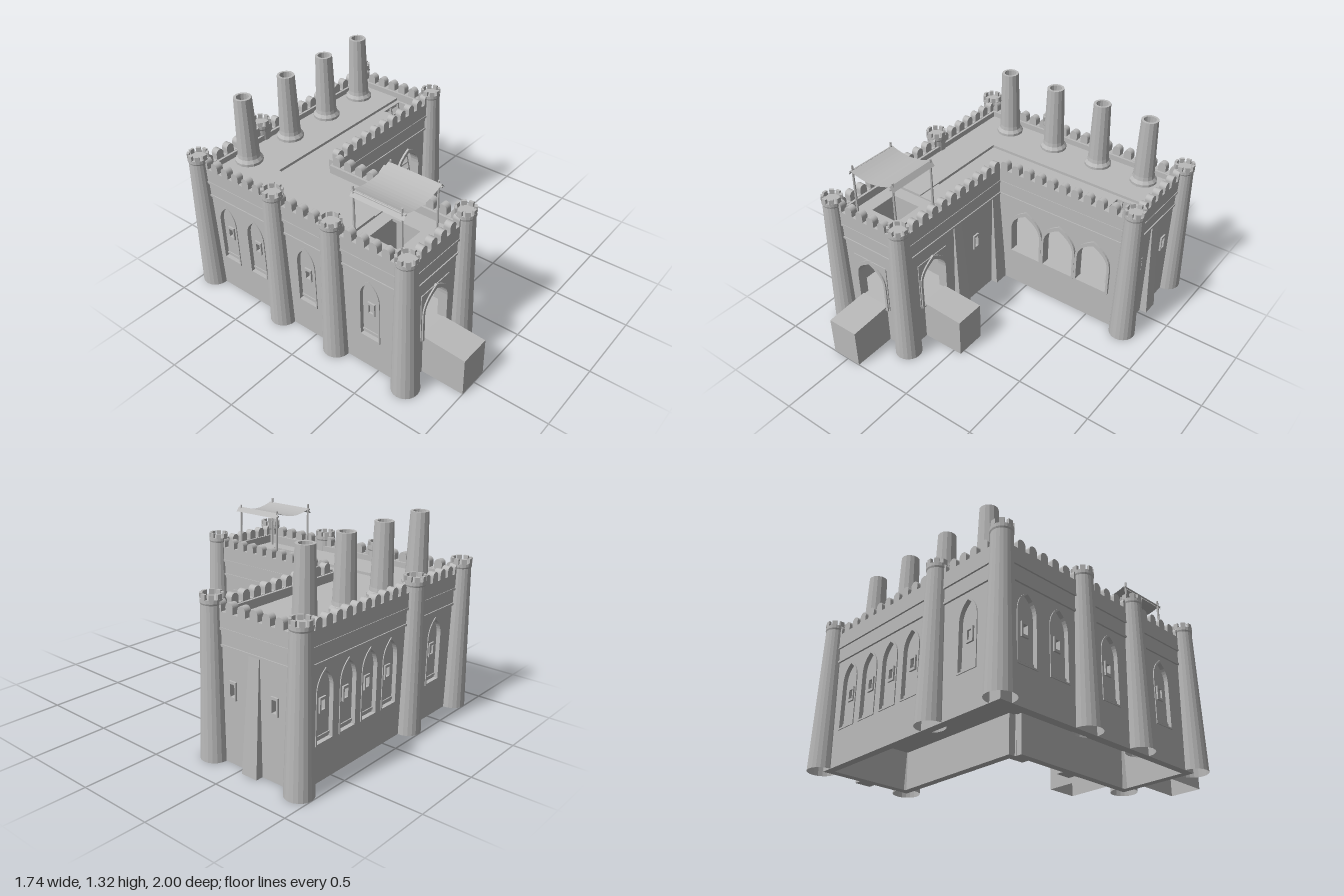
import * as THREE from 'three';

const stone = new THREE.MeshStandardMaterial({ color: 0xbababa, flatShading: true, side: THREE.DoubleSide });
stone.name = 'grey stone';

function add(parent, name, geo, x = 0, y = 0, z = 0) {
  const m = new THREE.Mesh(geo, stone);
  m.name = name;
  m.position.set(x, y, z);
  parent.add(m);
  return m;
}
// box given by its two corners
function slab(parent, name, [x0, y0, z0], [x1, y1, z1]) {
  return add(parent, name, new THREE.BoxGeometry(x1 - x0, y1 - y0, z1 - z0),
    (x0 + x1) / 2, (y0 + y1) / 2, (z0 + z1) / 2);
}
const extrude = (shape, depth) =>
  new THREE.ExtrudeGeometry(shape, { depth, bevelEnabled: false, curveSegments: 8 });

function rectPath(path, x0, y0, x1, y1) {
  path.moveTo(x0, y0); path.lineTo(x1, y0); path.lineTo(x1, y1); path.lineTo(x0, y1); path.closePath();
  return path;
}
// pointed arch outline: centre, half width, sill, springing, apex
function archPath(path, c, hw, y0, ys, ya) {
  const k = ya - ys;
  path.moveTo(c - hw, y0);
  path.lineTo(c + hw, y0);
  path.lineTo(c + hw, ys);
  path.bezierCurveTo(c + hw, ys + k * 0.55, c + hw * 0.5, ya - k * 0.2, c, ya);
  path.bezierCurveTo(c - hw * 0.5, ya - k * 0.2, c - hw, ys + k * 0.55, c - hw, ys);
  path.closePath();
  return path;
}
function polyShape(points) {
  return new THREE.Shape(points.map(([x, z]) => new THREE.Vector2(x, -z)));
}

// buttress leaning against a wall, wide and deep at the foot
function buttress(parent, u) {
  const g = new THREE.BoxGeometry(1, 1, 1);
  const p = g.attributes.position;
  for (let i = 0; i < p.count; i++) {
    const top = p.getY(i) > 0;
    p.setXYZ(i, u + p.getX(i) * (top ? 0.075 : 0.11), top ? 0.71 : 0,
      p.getZ(i) > 0 ? (top ? 0.006 : 0.05) : -0.01);
  }
  add(parent, 'buttress', g);
}

// u runs along the wall, local z points outwards
function wall(root, name, angle, pos, u0, u1, f) {
  const w = new THREE.Group();
  w.name = name;
  w.rotation.y = angle;
  w.position.set(pos[0], 0, pos[1]);
  root.add(w);
  const { arches = [], niches = [], slits = [], buttresses = [] } = f;
  const outer = rectPath(new THREE.Shape(), u0, 0, u1, 0.905);
  const inner = rectPath(new THREE.Shape(), u0, 0, u1, 0.905);

  for (const a of arches) {
    const dims = [a.u, a.hw, 0.275, 0.46, a.apex];
    outer.holes.push(archPath(new THREE.Path(), ...dims));
    inner.holes.push(archPath(new THREE.Path(), ...dims));
    const ring = archPath(new THREE.Shape(), a.u, a.hw + 0.017, 0.265, 0.46, a.apex + 0.03);
    ring.holes.push(archPath(new THREE.Path(), ...dims));
    add(w, 'archFrame', extrude(ring, 0.03), 0, 0, -0.015);
    if (a.panel) {
      const panel = rectPath(new THREE.Shape(), a.u - 0.135, 0.268, a.u + 0.135, 0.612);
      panel.holes.push(archPath(new THREE.Path(), ...dims));
      add(w, 'archPanel', extrude(panel, 0.006));
    }
  }
  const slit = (u, y, h, z, blind) => {
    const hole = () => rectPath(new THREE.Path(), u - 0.016, y - h / 2 + 0.016, u + 0.016, y + h / 2 - 0.016);
    if (!blind) inner.holes.push(hole());
    const frame = rectPath(new THREE.Shape(), u - 0.026, y - h / 2, u + 0.026, y + h / 2);
    frame.holes.push(hole());
    add(w, 'slitFrame', extrude(frame, 0.012), 0, 0, z);
    return hole;
  };
  for (const n of niches) {
    outer.holes.push(archPath(new THREE.Path(), n.u, 0.066, 0.24, 0.53, 0.655));
    const rim = archPath(new THREE.Shape(), n.u, 0.076, 0.23, 0.53, 0.67);
    rim.holes.push(archPath(new THREE.Path(), n.u, 0.066, 0.24, 0.53, 0.655));
    add(w, 'nicheRim', extrude(rim, 0.006));
    slit(n.u, 0.45, 0.09, -0.022, n.blind);
  }
  for (const u of slits) outer.holes.push(slit(u, 0.46, 0.11, 0, true)());
  add(w, 'outerFace', extrude(outer, 0.022), 0, 0, -0.022);
  add(w, 'innerFace', extrude(inner, 0.028), 0, 0, -0.05);
  buttresses.forEach((u) => buttress(w, u));

  // string courses and parapet
  slab(w, 'lowerMoulding', [u0, 0.703, -0.02], [u1, 0.717, 0.012]);
  slab(w, 'upperMoulding', [u0, 0.802, -0.02], [u1, 0.817, 0.016]);
  slab(w, 'frieze', [u0, 0.717, -0.02], [u1, 0.802, 0.005]);
  slab(w, 'parapet', [u0, 0.817, -0.034], [u1, 0.907, 0.012]);
  const m = new THREE.Shape();
  m.moveTo(-0.028, 0); m.lineTo(0.028, 0); m.lineTo(0.028, 0.035);
  m.absarc(0, 0.037, 0.028, 0, Math.PI); m.closePath();
  const merlon = extrude(m, 0.046);
  const n = Math.round((u1 - u0) / 0.088);
  for (let i = 0; i < n; i++) add(w, 'merlon', merlon, u0 + ((i + 0.5) * (u1 - u0)) / n, 0.905, -0.034);
}

function tower(root, x, z) {
  const t = new THREE.Group();
  t.name = 'tower';
  t.position.set(x, 0, z);
  root.add(t);
  const profile = [[0.0875, 0], [0.063, 0.94], [0.067, 0.95], [0.067, 0.972], [0, 0.972]];
  add(t, 'towerShaft', new THREE.LatheGeometry(profile.map((p) => new THREE.Vector2(...p)), 20));
  const tooth = new THREE.BoxGeometry(0.03, 0.034, 0.016);
  for (let i = 0; i < 8; i++) {
    const a = (i * Math.PI) / 4;
    add(t, 'towerMerlon', tooth, Math.sin(a) * 0.058, 0.985, Math.cos(a) * 0.058).rotation.y = a;
  }
}

// landing block with gently sloping top and open underside; slopes along local +z
function landing(root, name, angle, x, z, width, length) {
  const g = new THREE.BoxGeometry(width, 0.28, length);
  g.translate(0, 0.14, length / 2);
  const p = g.attributes.position;
  for (let i = 0; i < p.count; i++) if (p.getY(i) > 0.1) p.setY(i, p.getZ(i) > 0.1 ? 0.268 : 0.287);
  g.setIndex([...g.index.array].filter((_, i) => i < 18 || i >= 24));
  add(root, name, g, x, 0, z).rotation.y = angle;
}

export function createModel() {
  const root = new THREE.Group();
  root.name = 'fort';
  const H = Math.PI / 2;

  // walls of the L plan
  wall(root, 'southWall', 0, [0, 0.705], -0.775, -0.235, { arches: [{ u: -0.51, hw: 0.11, apex: 0.59, panel: true }] });
  wall(root, 'arcadeWall', 0, [0, -0.275], -0.235, 0.775,
    { arches: [-0.01, 0.255, 0.52].map((u) => ({ u, hw: 0.115, apex: 0.605 })) });
  wall(root, 'courtWall', H, [-0.235, 0], -0.705, 0.275,
    { arches: [{ u: -0.437, hw: 0.11, apex: 0.59, panel: true }], slits: [0], buttresses: [-0.18, 0.225] });
  wall(root, 'eastWall', H, [0.775, 0], 0.275, 0.905, { slits: [0.425, 0.735], buttresses: [0.585] });
  wall(root, 'backWall', Math.PI, [0, -0.905], -0.775, 0.775,
    { niches: [-0.57, -0.365, -0.165, 0.037].map((u) => ({ u })).concat({ u: 0.52, blind: true }) });
  wall(root, 'westWall', -H, [-0.775, 0], -0.905, 0.705,
    { niches: [-0.72, -0.475, -0.05, 0.44].map((u) => ({ u, blind: u > 0 })) });

  for (const [x, z] of [[-0.783, -0.9125], [-0.25, -0.9125], [0.783, -0.9125], [-0.783, -0.273],
    [0.783, -0.273], [-0.783, 0.178], [-0.783, 0.708], [-0.237, 0.708]]) tower(root, x, z);

  // floor and roof
  const plan = [[-0.76, 0.69], [-0.25, 0.69], [-0.25, -0.29], [0.76, -0.29], [0.76, -0.89], [-0.76, -0.89]];
  const flat = (shape, depth) => extrude(shape, depth).rotateX(-H);
  add(root, 'floor', flat(polyShape(plan), 0.015), 0, 0.255, 0);
  const roof = polyShape(plan);
  roof.holes.push(rectPath(new THREE.Path(), 0.54, 0.33, 0.71, 0.495));
  roof.holes.push(rectPath(new THREE.Path(), -0.63, -0.53, -0.42, -0.33));
  add(root, 'roof', flat(roof, 0.02), 0, 0.83, 0);
  const raised = [[-0.76, -0.89], [0.76, -0.89], [0.76, -0.525], [-0.48, -0.525], [-0.48, 0.245], [-0.76, 0.245]];
  add(root, 'raisedRoof', flat(polyShape(raised), 0.018), 0, 0.85, 0);
  slab(root, 'roofStep', [-0.48, 0.85, 0.07], [-0.25, 0.86, 0.245]);
  slab(root, 'partition', [-0.76, 0.27, 0.235], [-0.25, 0.83, 0.255]);

  // chimneys
  const stack = [[0.09, 0.865], [0.09, 0.885], [0.074, 0.905], [0.07, 0.93], [0.057, 1.32], [0.04, 1.32], [0.046, 0.95], [0, 0.95]];
  const chimney = new THREE.LatheGeometry(stack.map((p) => new THREE.Vector2(...p)), 14);
  for (const x of [-0.507, -0.132, 0.228, 0.575]) add(root, 'chimney', chimney, x, 0, -0.76);

  // landings at the two gates
  landing(root, 'southLanding', 0, -0.511, 0.7, 0.214, 0.3);
  landing(root, 'courtLanding', H, -0.24, 0.43, 0.21, 0.295);

  // awning: posts, side beams and sagging cloth
  const awning = new THREE.Group();
  awning.name = 'awning';
  root.add(awning);
  for (const x of [-0.685, -0.357]) {
    for (const z of [0.265, 0.6]) add(awning, 'post', new THREE.CylinderGeometry(0.007, 0.009, 0.35, 6), x, 1.02, z);
    add(awning, 'beam', new THREE.CylinderGeometry(0.006, 0.006, 0.375, 6).rotateX(H), x, 1.16, 0.438);
  }
  const cloth = new THREE.PlaneGeometry(0.37, 0.37, 14, 1).rotateX(-H);
  const p = cloth.attributes.position;
  for (let i = 0; i < p.count; i++) {
    const s = Math.abs(p.getX(i)) / 0.164;
    const y = s > 1.01 ? 1.14 : 1.14 + 0.035 * s * s;
    p.setY(i, y + p.getX(i) * 0.05);
  }
  add(awning, 'cloth', cloth, -0.518, 0, 0.438);

  // ladder up to the roof hatch
  const ladder = new THREE.Group();
  ladder.name = 'ladder';
  ladder.position.set(0.625, 0.27, -0.35);
  ladder.rotation.x = -0.21;
  root.add(ladder);
  for (const x of [-0.04, 0.04]) slab(ladder, 'ladderRail', [x - 0.006, 0, -0.006], [x + 0.006, 0.6, 0.006]);
  for (let i = 0; i < 11; i++) slab(ladder, 'rung', [-0.045, 0.04 + i * 0.05, -0.005], [0.045, 0.05 + i * 0.05, 0.005]);

  return root;
}
